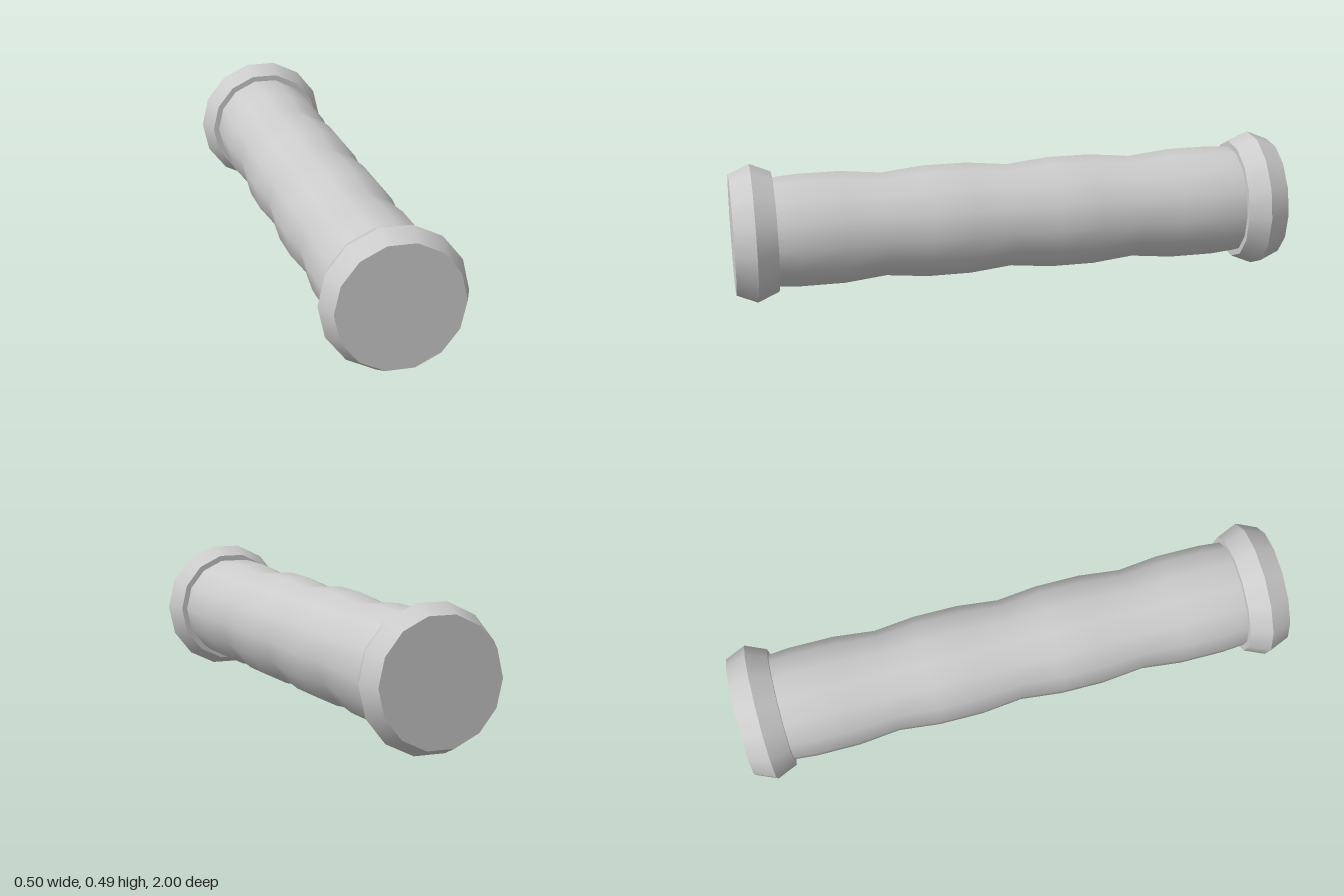
import * as THREE from 'three';
import { mergeGeometries } from 'three/addons/utils/BufferGeometryUtils.js';

const SIDES = 14;

// Turned surface along z from [radius, z] points, listed with z increasing
function turned(points) {
  const profile = points.map(([r, z]) => new THREE.Vector2(r, z));
  return new THREE.LatheGeometry(profile, SIDES, Math.PI / 2).rotateX(Math.PI / 2);
}

export function createModel() {
  const group = new THREE.Group();
  group.name = 'grip';
  const grey = new THREE.MeshStandardMaterial({ color: 0xcccccc });
  grey.name = 'light grey';

  // Handle with four soft swells and three finger grooves
  const half = [[0.187, 0], [0.2026, 0.15], [0.2026, 0.31], [0.187, 0.46],
    [0.2026, 0.61], [0.2026, 0.77], [0.195, 0.86]];
  const mirrored = half.slice(1).reverse().map(([r, z]) => [r, -z]);
  const handle = new THREE.Mesh(turned([...mirrored, ...half]), grey);
  handle.name = 'handle';
  group.add(handle);

  // Bevelled end caps, each band separate so the ridges stay sharp
  const capProfile = [[0, 0.85], [0.217, 0.85], [0.249, 0.925], [0.217, 1], [0, 1]];
  const bands = capProfile.slice(1).map((p, i) => turned([capProfile[i], p]));
  const capGeometry = mergeGeometries(bands);
  for (const [name, angle] of [['frontCap', 0], ['backCap', Math.PI]]) {
    const cap = new THREE.Mesh(capGeometry, grey);
    cap.name = name;
    cap.rotation.y = angle;
    group.add(cap);
  }

  // Rest the flat side of the caps on the ground
  for (const part of group.children) part.position.y = 0.249 * Math.cos(Math.PI / SIDES);
  return group;
}
